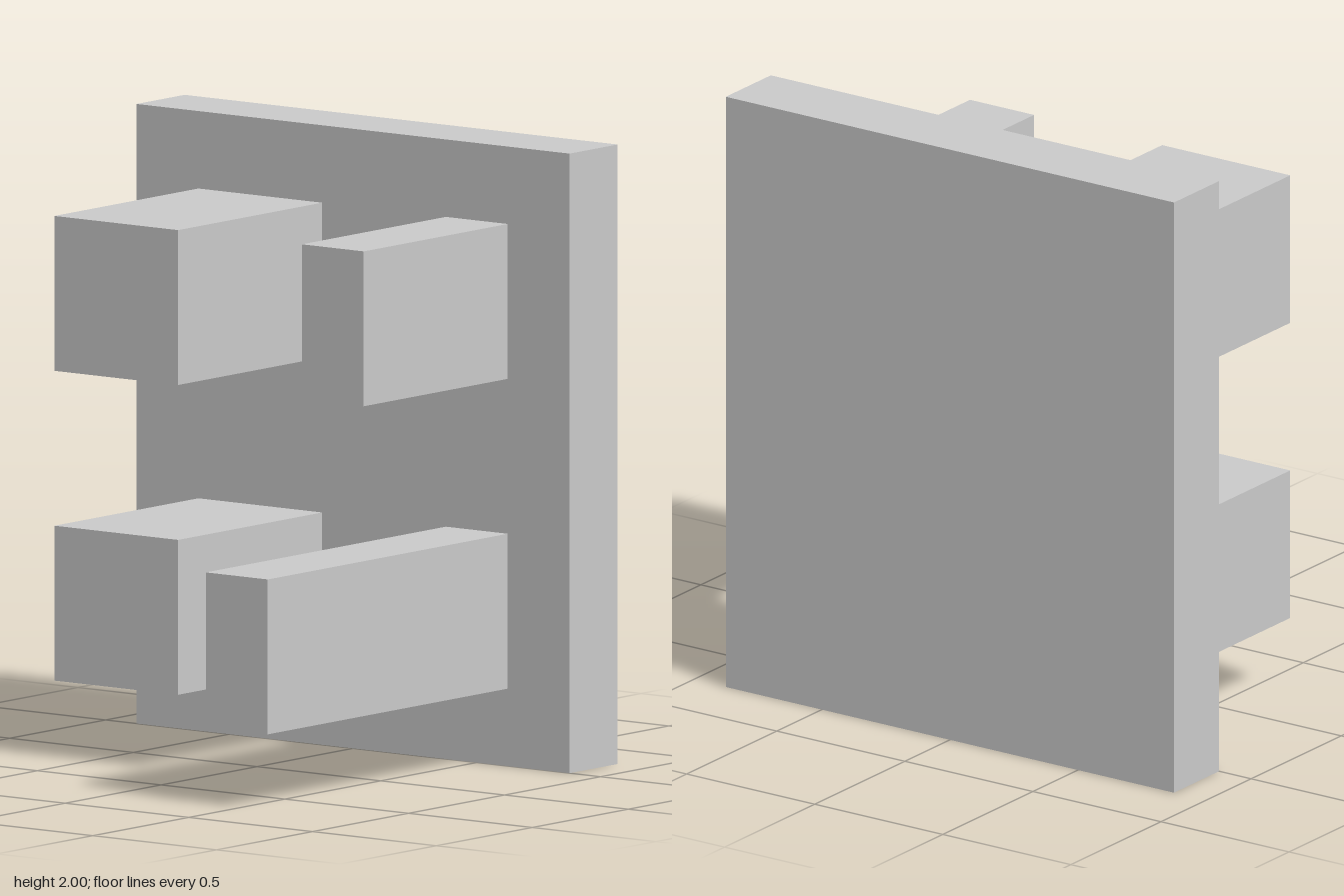
import * as THREE from 'three';

export function createModel() {
  const group = new THREE.Group();
  const material = new THREE.MeshStandardMaterial({ color: 0xcccccc, flatShading: true });

  // Box whose back face sits at zBack and which extends forward by depth
  function addBlock(name, width, height, depth, x, y, zBack) {
    const mesh = new THREE.Mesh(new THREE.BoxGeometry(width, height, depth), material);
    mesh.name = name;
    mesh.position.set(x, y, zBack + depth / 2);
    group.add(mesh);
  }

  // Upright back panel
  const panelFront = -0.5;
  addBlock('backPanel', 1.75, 2, 0.25, 0, 1, -0.75);

  // Two rows of blocks projecting from the panel; the lower left bar is longer
  const rows = [
    { label: 'upper', y: 1.5, barDepth: 0.75 },
    { label: 'lower', y: 0.5, barDepth: 1.25 },
  ];
  for (const { label, y, barDepth } of rows) {
    addBlock(`${label}RightBlock`, 0.5, 0.5, 0.75, -0.375, y, panelFront);
    addBlock(`${label}LeftBar`, 0.25, 0.5, barDepth, 0.5, y, panelFront);
  }

  return group;
}
